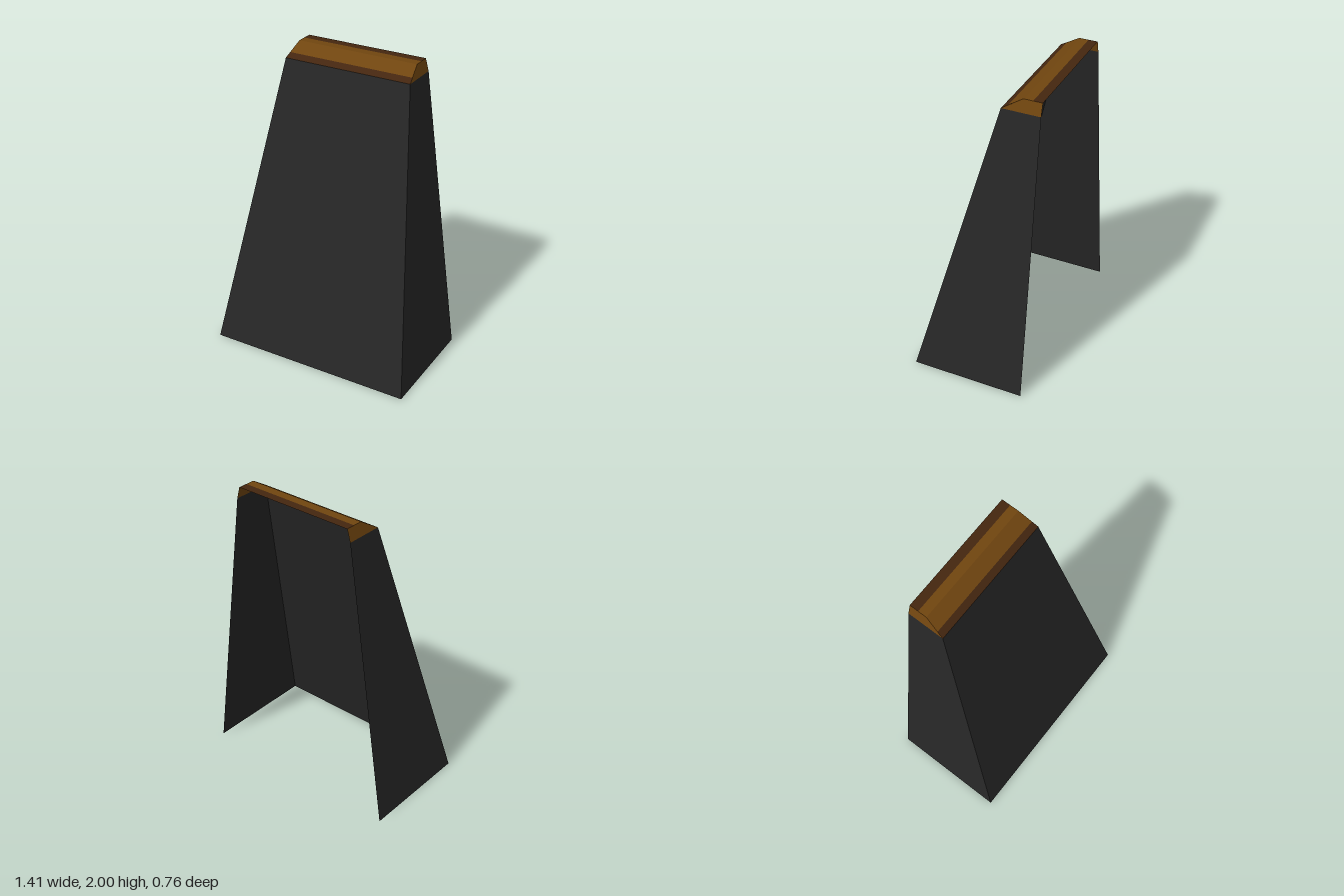
import * as THREE from 'three';

const mat = (name, color) => {
  const m = new THREE.MeshStandardMaterial({ color, side: THREE.DoubleSide });
  m.name = name;
  return m;
};

// Thin sheet skinned between two cross-sections with the same number of points
function sheet(lower, upper) {
  const pos = [];
  for (let i = 0; i < lower.length - 1; i++) {
    const [a, b, c, d] = [lower[i], lower[i + 1], upper[i + 1], upper[i]];
    pos.push(...a, ...b, ...c, ...a, ...c, ...d);
  }
  const g = new THREE.BufferGeometry();
  g.setAttribute('position', new THREE.Float32BufferAttribute(pos, 3));
  g.computeVertexNormals();
  return g;
}

const BACK = -0.38;
// Straight line across the model, right to left
const across = (x, y, z) => [[-x, y, z], [x, y, z]];
// Three-sided section, open at the back
const section = (x, y, z) => [[-x, y, BACK], ...across(x, y, z), [x, y, BACK]];

export function createModel() {
  const black = mat('charcoal', 0x272727);
  const amber = mat('amber', 0x70450f);
  const brown = mat('dark brown', 0x44260f);

  const model = new THREE.Group();
  model.name = 'taperedHood';
  const add = (name, geometry, material, parent = model) => {
    const mesh = new THREE.Mesh(geometry, material);
    mesh.name = name;
    parent.add(mesh);
  };

  // Tapered body: front and two side walls, open below and behind
  add('body', sheet(section(0.705, 0, 0.38), section(0.442, 1.92, -0.13)), black);

  // Bevelled cap
  const cap = new THREE.Group();
  cap.name = 'cap';
  model.add(cap);
  const base = [0.442, 1.92, -0.13];
  const trim = [0.435, 1.946, -0.172];
  const crest = [0.42, 2, -0.26];

  add('lowerTrim', sheet(across(...base), across(...trim)), brown, cap);
  add('slope', sheet(across(...trim), across(...crest)), amber, cap);
  add('roofFront', sheet(across(...crest), across(0.42, 2, -0.32)), amber, cap);
  add('roofBackTrim', sheet(across(0.42, 2, -0.32), across(0.42, 2, BACK)), brown, cap);

  // Cap cheeks
  const low = section(...base), high = section(...crest);
  add('rightCheek', sheet(low.slice(0, 2), high.slice(0, 2)), amber, cap);
  add('leftCheek', sheet(low.slice(2), high.slice(2)), amber, cap);

  return model;
}
